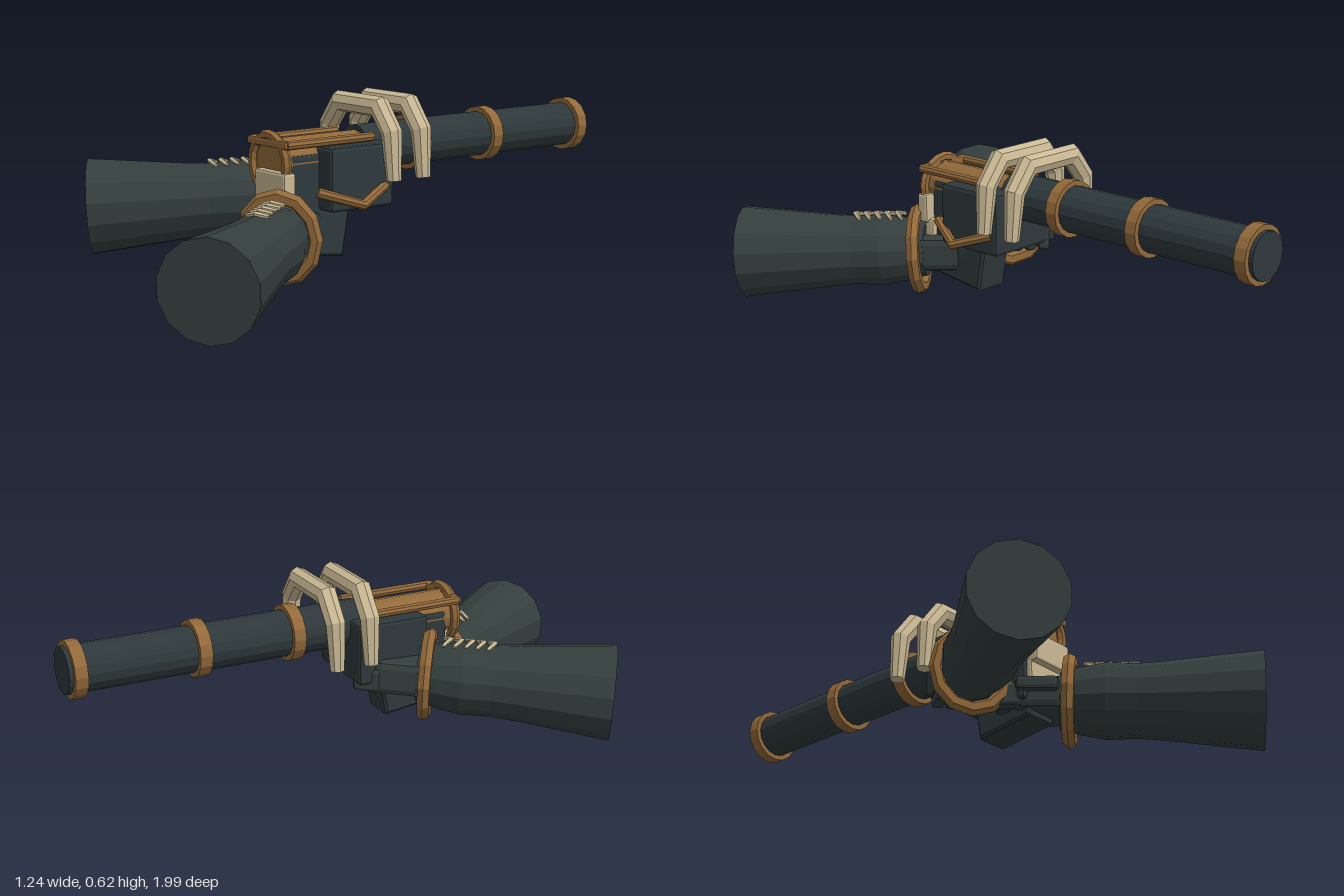
import * as THREE from 'three';
import { RoundedBoxGeometry } from 'three/addons/geometries/RoundedBoxGeometry.js';

const mat = (name, color) => {
  const m = new THREE.MeshStandardMaterial({ color, flatShading: true });
  m.name = name;
  return m;
};
const V = (x, y, z) => new THREE.Vector3(x, y, z);

// Mitred low-poly pipe along straight segments; ref is a direction across the path
function pipeGeometry(points, radii, sides, ref) {
  const pos = [], index = [], n = points.length;
  points.forEach((p, i) => {
    const a = V().subVectors(p, points[Math.max(i - 1, 0)]).normalize();
    const c = V().subVectors(points[Math.min(i + 1, n - 1)], p).normalize();
    const t = a.clone().add(c).normalize();
    const miter = i > 0 && i < n - 1 ? 1 / t.dot(a) : 1;
    const b = ref.clone().addScaledVector(t, -ref.dot(t)).normalize();
    const side = V().crossVectors(t, b).multiplyScalar(miter);
    for (let j = 0; j < sides; j++) {
      const q = (j / sides) * Math.PI * 2;
      pos.push(...p.clone().addScaledVector(b, radii[i] * Math.cos(q)).addScaledVector(side, radii[i] * Math.sin(q)).toArray());
    }
  });
  pos.push(...points[0].toArray(), ...points[n - 1].toArray());
  for (let j = 0; j < sides; j++) {
    const k = (j + 1) % sides, last = (n - 1) * sides;
    for (let i = 0; i < n - 1; i++) {
      const o = i * sides;
      index.push(o + j, o + k, o + sides + j, o + k, o + sides + k, o + sides + j);
    }
    index.push(n * sides, k, j, n * sides + 1, last + j, last + k);
  }
  const g = new THREE.BufferGeometry();
  g.setAttribute('position', new THREE.Float32BufferAttribute(pos, 3));
  g.setIndex(index);
  const flat = g.toNonIndexed();
  flat.computeVertexNormals();
  return flat;
}

export function createModel() {
  const model = new THREE.Group();
  const sleeve = mat('dark sleeve', 0x333e3d);
  const metal = mat('gunmetal', 0x2e383b);
  const brass = mat('brass', 0x92693a);
  const bone = mat('bone', 0xcab994);
  const CX = 0.042;

  const add = (parent, name, geo, material, x = 0, y = 0, z = 0) => {
    const m = new THREE.Mesh(geo, material);
    m.name = name;
    m.position.set(x, y, z);
    parent.add(m);
    return m;
  };
  const box = (w, h, d, r = 0.012) => new RoundedBoxGeometry(w, h, d, 1, r);
  const rod = (r, length, sides) => new THREE.CylinderGeometry(r, r, length, sides).rotateX(Math.PI / 2);

  // Barrel and its bands
  add(model, 'barrel', rod(0.078, 1.02, 16), metal, CX, 0.45, -0.49);
  for (const z of [-0.965, -0.55, -0.22]) add(model, 'barrelBand', rod(0.095, 0.042, 16), brass, CX, 0.45, z);

  // Bone arches over the barrel
  const arch = [[-0.178, 0.358], [-0.165, 0.515], [-0.103, 0.594], [0.103, 0.594], [0.165, 0.515], [0.178, 0.358]];
  for (const z of [-0.005, -0.13]) {
    const pts = arch.map(([x, y]) => V(x, y, 0));
    add(model, 'boneArch', pipeGeometry(pts, [0.025, 0.034, 0.035, 0.035, 0.034, 0.025], 8, V(0, 0, 1)), bone, CX, 0, z);
  }

  // Receiver, rear body and lower grip
  add(model, 'receiver', box(0.295, 0.21, 0.255), metal, CX, 0.377, 0.098);
  add(model, 'rearBody', box(0.155, 0.28, 0.15), metal, CX, 0.32, 0.265);
  const gripShape = new THREE.Shape([[-0.33, 0.14], [-0.13, 0.115], [-0.1, 0.29], [-0.33, 0.29]].map(([x, y]) => new THREE.Vector2(x, y)));
  const grip = new THREE.ExtrudeGeometry(gripShape, { depth: 0.11, bevelSize: 0.008, bevelThickness: 0.008, bevelSegments: 1 });
  add(model, 'grip', grip.translate(0, 0, -0.055).rotateY(Math.PI / 2), metal, 0.055, 0, 0);

  // Brass chamber, rear ring and rails
  add(model, 'chamber', rod(0.078, 0.34, 16), brass, CX, 0.432, 0.19);
  add(model, 'rearRing', new THREE.TorusGeometry(0.092, 0.016, 6, 20), brass, CX, 0.432, 0.365);
  for (const s of [-1, 1]) add(model, 'rail', rod(0.015, 0.35, 8), brass, CX + s * 0.097, 0.498, 0.195);
  add(model, 'railBracket', box(0.21, 0.025, 0.03, 0.006), brass, CX, 0.498, 0.365);

  // Bone plate at the rear
  add(model, 'rearPlate', box(0.165, 0.1, 0.045, 0.008), bone, 0.066, 0.36, 0.362);
  add(model, 'rearPlateLower', box(0.155, 0.12, 0.04, 0.008), bone, 0.062, 0.265, 0.34);

  // Bent side handle on the left
  add(model, 'sideHandle', pipeGeometry([V(0.165, 0.34, 0.265), V(0.23, 0.295, 0.13), V(0.18, 0.34, 0)], [0.017, 0.017, 0.017], 8, V(0, 1, 0)), brass);

  // Arm reaching from the cuff (local origin) to the cut end (local +z)
  const profile = [[0, -0.03], [0.095, -0.03], [0.112, 0.04], [0.126, 0.12], [0.122, 0.22], [0.128, 0.3], [0.162, 0.621], [0, 0.621]];
  const forearm = new THREE.LatheGeometry(profile.map(([r, y]) => new THREE.Vector2(r, y)), 14).rotateX(Math.PI / 2);
  const makeArm = (name, cuffAt, endAt) => {
    const arm = new THREE.Group();
    arm.name = name;
    arm.position.copy(cuffAt);
    arm.lookAt(endAt);
    add(arm, 'forearm', forearm, sleeve);
    const cuff = add(arm, 'cuff', new THREE.TorusGeometry(0.123, 0.023, 6, 12), brass);
    cuff.scale.y = 1.1;
    // Palm and curled fingers
    add(arm, 'palm', box(0.18, 0.12, 0.17, 0.025), sleeve, 0, 0, -0.09);
    for (let i = 0; i < 4; i++) {
      add(arm, 'finger', box(0.042, 0.085, 0.1, 0.014), sleeve, -0.069 + i * 0.046, -0.01, -0.19);
    }
    for (const s of [-1, 1]) {
      const thumb = add(arm, 'thumb', box(0.045, 0.05, 0.14, 0.014), sleeve, s * 0.09, 0.02, -0.1);
      thumb.visible = s === (cuffAt.x < 0 ? 1 : -1);
      if (!thumb.visible) arm.remove(thumb);
    }
    // Chevron lacing along the top
    for (let i = 0; i < 5; i++) {
      const z = 0.07 + i * 0.037;
      const pts = [V(-0.036, 0.118, z - 0.022), V(0, 0.132, z), V(0.036, 0.118, z - 0.022)];
      add(arm, 'lacing', pipeGeometry(pts, [0.007, 0.008, 0.007], 5, V(0, 1, 0)), bone);
    }
    model.add(arm);
  };
  makeArm('rightArm', V(-0.133, 0.285, 0.21), V(-0.49, 0.253, 0.715));
  makeArm('leftArm', V(0.133, 0.205, 0.395), V(0.488, 0.17, 0.9));

  return model;
}
